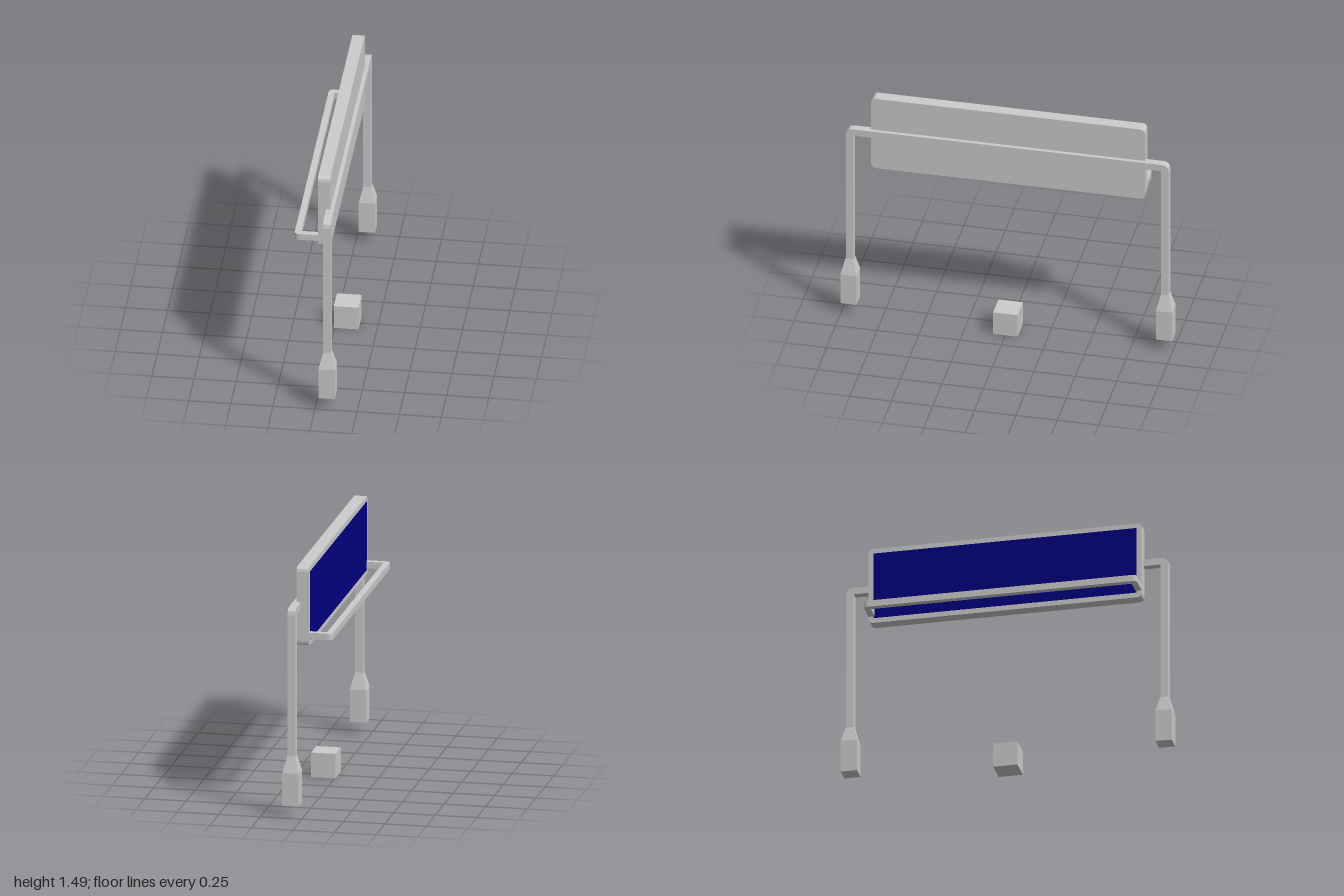
import * as THREE from 'three';

const grey = new THREE.MeshStandardMaterial({ color: 0xcccccc, flatShading: true });
const blue = new THREE.MeshStandardMaterial({ color: 0x000080 });

// Polygon outline; a point [x, y, r] gets its corner rounded by r
function outline(points) {
  const shape = new THREE.Shape();
  const n = points.length;
  points.forEach(([x, y, r = 0], i) => {
    const p = new THREE.Vector2(x, y);
    const toward = ([ox, oy]) => new THREE.Vector2(ox - x, oy - y).setLength(r).add(p);
    const a = toward(points[(i + n - 1) % n]);
    const b = toward(points[(i + 1) % n]);
    if (i === 0) shape.moveTo(a.x, a.y);
    else shape.lineTo(a.x, a.y);
    if (r > 0) shape.quadraticCurveTo(x, y, b.x, b.y);
  });
  shape.closePath();
  return shape;
}

const extrude = (points, depth) =>
  new THREE.ExtrudeGeometry(outline(points), { depth, bevelEnabled: false, curveSegments: 3 });

// Outline in (z, y), thickness from x0 to x1
function plateX(points, x0, x1) {
  return extrude(points, x1 - x0).rotateY(-Math.PI / 2).translate(x1, 0, 0);
}

// Outline in (x, z), thickness from y0 to y1
function plateY(points, y0, y1) {
  return extrude(points, y1 - y0).rotateX(Math.PI / 2).translate(0, y1, 0);
}

export function createModel() {
  const group = new THREE.Group();
  const add = (name, geometry, material = grey) => {
    const mesh = new THREE.Mesh(geometry, material);
    mesh.name = name;
    group.add(mesh);
    return mesh;
  };

  // Sign board with softened corners
  const r = 0.03;
  add('signBoard', plateX([
    [-0.825, 1.01, r], [0.825, 1.01, r], [0.825, 1.49, r], [-0.825, 1.49, r],
  ], -0.005, 0.068));

  // Coloured face on the -x side
  const face = add('signFace', new THREE.PlaneGeometry(1.59, 0.42), blue);
  face.rotation.y = -Math.PI / 2;
  face.position.set(-0.007, 1.25, 0);

  // Gantry: two posts and the crossbeam in one bent square bar
  add('gantryFrame', plateX([
    [-0.973, 0.36], [-0.927, 0.36], [-0.927, 1.232], [0.927, 1.232],
    [0.927, 0.36], [0.973, 0.36], [0.973, 1.275, 0.042], [-0.973, 1.275, 0.042],
  ], 0.044, 0.091));

  // Tapered square feet
  const half = [[0, 0.076], [0.049, 0.076], [0.049, 0.275], [0.0235, 0.375], [0, 0.375]];
  const profile = half.map(([w, y]) => new THREE.Vector2(w * Math.SQRT2, y));
  for (const side of [-1, 1]) {
    const foot = add(side > 0 ? 'frontFoot' : 'backFoot', new THREE.LatheGeometry(profile, 4));
    foot.rotation.y = Math.PI / 4;
    foot.position.set(0.0685, 0, side * 0.951);
  }

  // U-shaped service rail in front of the face
  add('serviceRail', plateY([
    [0, -0.825], [0, -0.788], [-0.108, -0.788], [-0.108, 0.788],
    [0, 0.788], [0, 0.825], [-0.145, 0.825, 0.028], [-0.145, -0.825, 0.028],
  ], 1.052, 1.092));

  // Separate block on the ground
  add('groundBlock', new THREE.BoxGeometry(0.147, 0.15, 0.147)).position.set(0.0685, 0.075, 0);

  return group;
}
